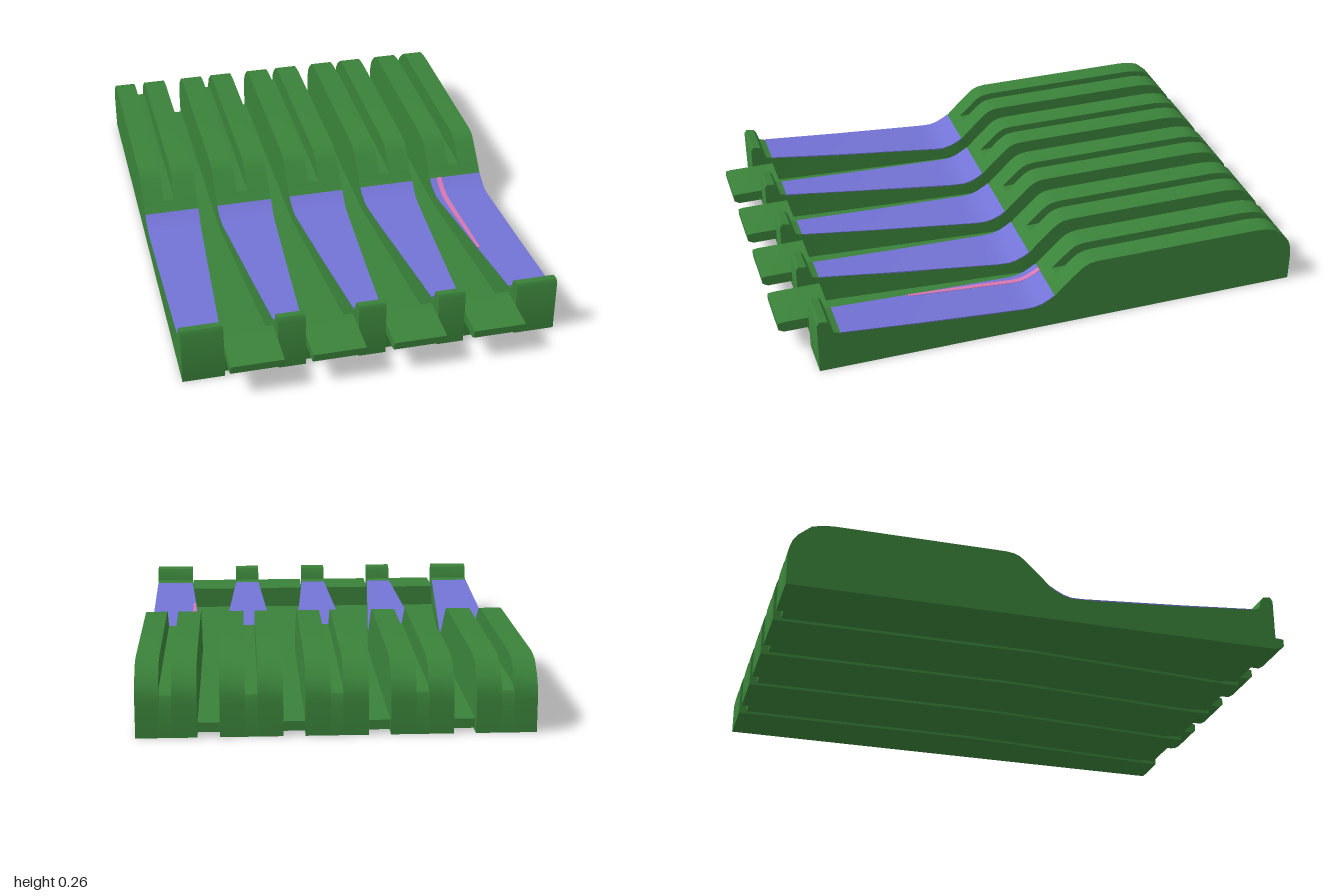
import * as THREE from 'three';
import { toCreasedNormals } from 'three/addons/utils/BufferGeometryUtils.js';

// Side profile of one ridge, front to back: [z, top y]
const PROFILE = [
  [0.885, 0.205], [0.875, 0.22], [0.845, 0.215], [0.835, 0.2], [0.825, 0.165], [0.80, 0.156],
  [0.5, 0.129], [0.2, 0.105], [0.10, 0.097], [0.06, 0.097], [0.03, 0.105], [0, 0.12], [-0.02, 0.133],
  [-0.055, 0.168], [-0.12, 0.23], [-0.14, 0.245], [-0.16, 0.253], [-0.19, 0.257], [-0.84, 0.257],
  [-0.88, 0.253], [-0.92, 0.243], [-0.965, 0.205], [-0.985, 0.178], [-0.995, 0.15], [-1, 0.115],
];
const CENTRES = [-0.6, -0.3, 0, 0.3, 0.6];
const GROOVE_END = -0.055;

// Solid swept along z from rectangular sections [z, y0, y1, xLeft, xRight]
function loft(sections) {
  const pos = [];
  const quad = (a, b, c, d) => [a, b, c, a, c, d].forEach((p) => pos.push(...p));
  const corners = ([z, y0, y1, l, r]) => [[l, y0, z], [r, y0, z], [r, y1, z], [l, y1, z]];
  for (let i = 0; i < sections.length - 1; i++) {
    const a = corners(sections[i]);
    const b = corners(sections[i + 1]);
    for (let k = 0; k < 4; k++) {
      const n = (k + 1) % 4;
      quad(a[k], b[k], b[n], a[n]);
    }
  }
  quad(...corners(sections[0]));
  quad(...corners(sections[sections.length - 1]).reverse());
  const geo = new THREE.BufferGeometry();
  geo.setAttribute('position', new THREE.Float32BufferAttribute(pos, 3));
  return toCreasedNormals(geo, 0.6);
}

const between = (hi, lo) => PROFILE.filter(([z]) => z <= hi && z >= lo);

// The ridges narrow towards the front, except on the outer sides
const halfWidth = (z) => 0.111 - 0.06 * THREE.MathUtils.clamp(z / 0.8, 0, 1);
const leftEdge = (cx, z) => (cx < -0.5 ? -0.705 : cx - halfWidth(z));
const rightEdge = (cx, z) => (cx > 0.5 ? 0.705 : cx + halfWidth(z));

export function createModel() {
  const model = new THREE.Group();
  const green = new THREE.MeshStandardMaterial({ color: 0x3a823a });
  green.name = 'green body';
  const violet = new THREE.MeshStandardMaterial({ color: 0x7373d6 });
  violet.name = 'violet inlay';
  const pink = new THREE.MeshStandardMaterial({ color: 0xd677b2 });
  pink.name = 'pink line';

  const add = (name, sections, material, parent = model) => {
    const mesh = new THREE.Mesh(loft(sections), material);
    mesh.name = name;
    parent.add(mesh);
  };

  for (const cx of CENTRES) {
    const ridge = new THREE.Group();
    ridge.name = 'ridge';
    model.add(ridge);

    // Low tapering ramp with the raised front stop
    add('ramp', between(1, GROOVE_END).map(([z, y]) => [z, 0, y, leftEdge(cx, z), rightEdge(cx, z)]), green, ridge);

    // High rear block, split by a groove
    const rear = between(GROOVE_END, -1);
    add('rearBlockRight', rear.map(([z, y]) => [z, 0, y, leftEdge(cx, z), cx - 0.022]), green, ridge);
    add('rearBlockLeft', rear.map(([z, y]) => [z, 0, y, cx + 0.022, rightEdge(cx, z)]), green, ridge);
    const floor = [[GROOVE_END, 0.168], [-0.95, 0.168], [-0.985, 0.15], [-1, 0.115]];
    add('grooveFloor', floor.map(([z, y]) => [z, 0, y, cx - 0.022, cx + 0.022]), green, ridge);

    // Thin violet inlay lying on the ramp
    add('rampInlay', between(0.8, -0.02).map(([z, y]) =>
      [z, y - 0.002, y + 0.003, leftEdge(cx, z), rightEdge(cx, z)]), violet, ridge);
  }

  // Fine line on the outer ramp
  add('rampLine', between(0.5, -0.02).map(([z, y]) =>
    [z, y + 0.001, y + 0.005, Math.max(0.517, leftEdge(0.6, z)), 0.537]), pink);

  for (let i = 0; i < 4; i++) {
    const a = CENTRES[i];
    const b = CENTRES[i + 1];
    const mid = (a + b) / 2;

    // Low floor between neighbouring ridges, widening to the front
    add('channelFloor', [0.82, 0.8, 0, -0.97].map((z) =>
      [z, 0.01, 0.045, rightEdge(a, z), leftEdge(b, z)]), green);

    // Front web carrying a projecting tongue
    add('frontWeb', [0.875, 0.8].map((z) => [z, 0.014, 0.1, mid - 0.099, mid + 0.099]), green);
    add('frontTongue', [[1, 0.1, 0.128], [0.98, 0.088, 0.131], [0.8, 0.088, 0.131]].map(([z, y0, y1]) =>
      [z, y0, y1, mid - 0.098, mid + 0.098]), green);
  }
  return model;
}
